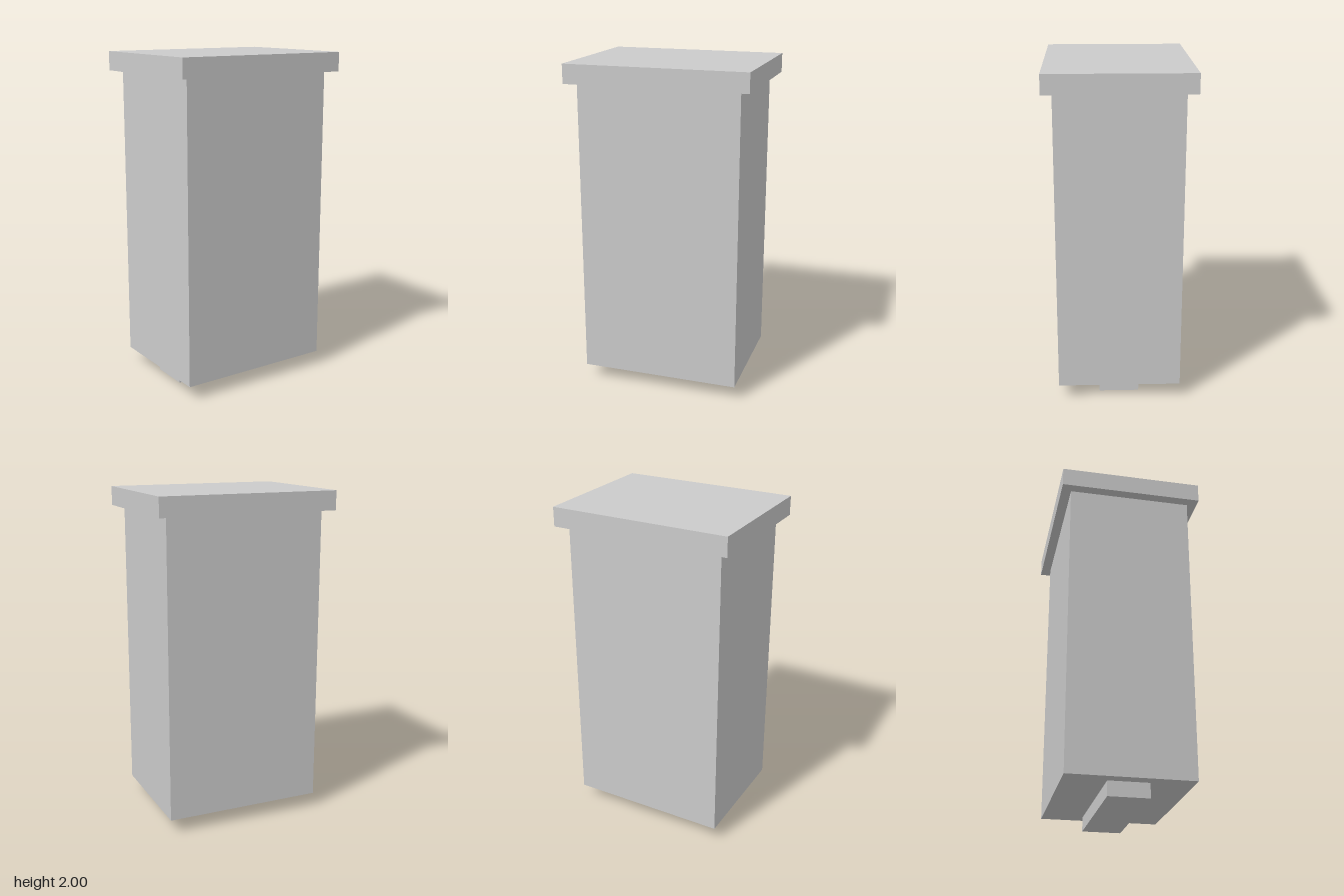
import * as THREE from 'three';

export function createModel() {
  const group = new THREE.Group();
  const material = new THREE.MeshStandardMaterial({ color: 0xcccccc, flatShading: true });

  // Box centred on the y axis, spanning from bottom to top
  function addBlock(name, width, depth, bottom, top) {
    const mesh = new THREE.Mesh(new THREE.BoxGeometry(width, top - bottom, depth), material);
    mesh.name = name;
    mesh.position.y = (bottom + top) / 2;
    group.add(mesh);
  }

  addBlock('foot', 0.81, 0.24, 0, 0.087); // narrow plinth under the body
  addBlock('body', 0.97, 0.737, 0.087, 1.885); // tall main block
  addBlock('lid', 1.092, 0.855, 1.885, 2); // overhanging slab on top

  return group;
}
